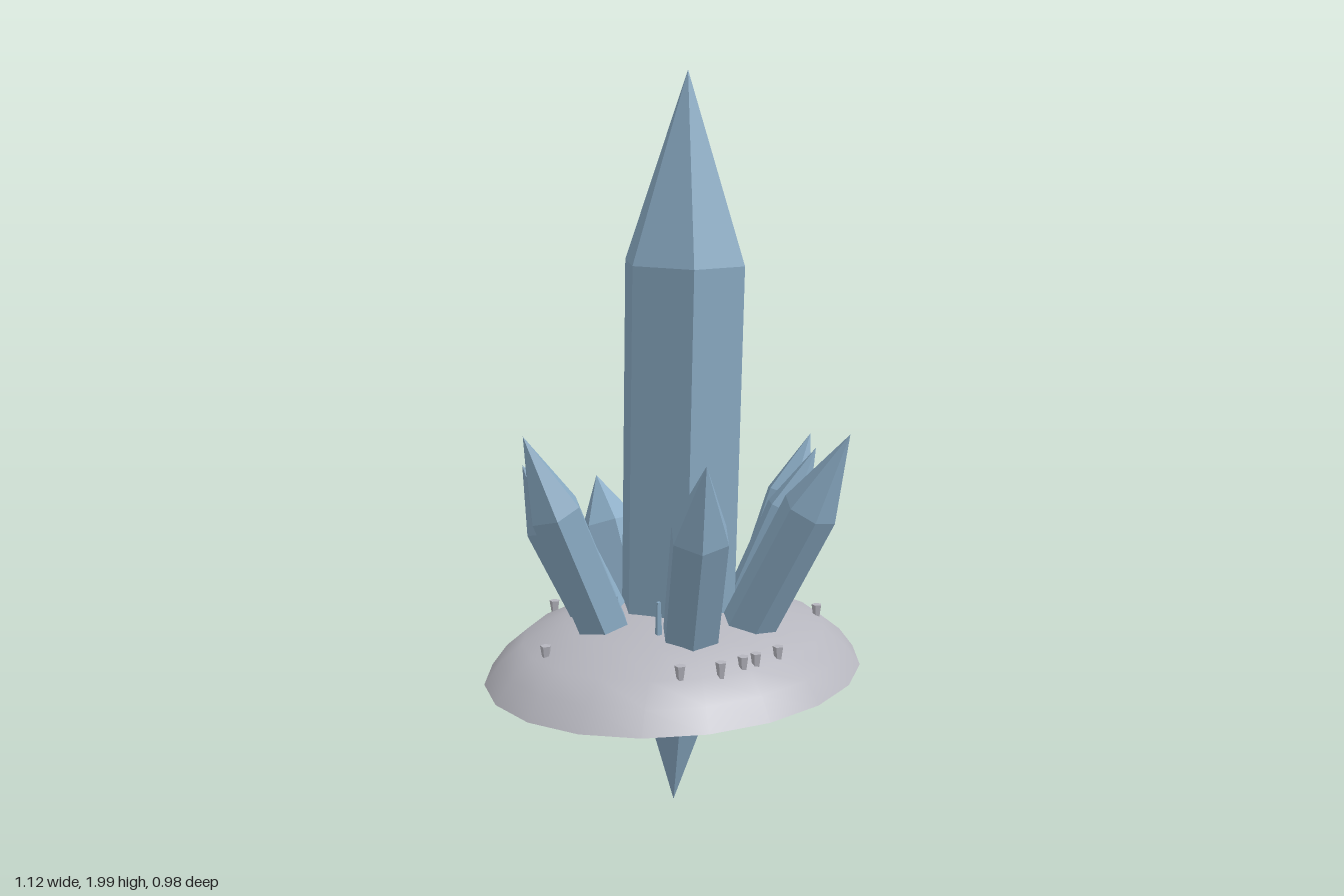
import * as THREE from 'three';

const crystalMat = new THREE.MeshStandardMaterial({ color: 0x8aabc4, flatShading: true });
crystalMat.name = 'paleBlueCrystal';
const rockMat = new THREE.MeshStandardMaterial({ color: 0xb6b6be, side: THREE.DoubleSide });
rockMat.name = 'greyRock';
const pebbleMat = new THREE.MeshStandardMaterial({ color: 0xb6b6be, flatShading: true });
pebbleMat.name = 'greyPebble';
const greenMat = new THREE.MeshStandardMaterial({ color: 0x22a060, flatShading: true });
greenMat.name = 'greenNeedle';

const UP = new THREE.Vector3(0, 1, 0);

function add(parent, name, geometry, material, x = 0, y = 0, z = 0) {
  const mesh = new THREE.Mesh(geometry, material);
  mesh.name = name;
  mesh.position.set(x, y, z);
  parent.add(mesh);
  return mesh;
}

// Double-ended six-sided crystal running from the bottom tip to the top tip
function addCrystal(parent, name, bottom, top, radius, angle, lower = 0.25, upper = 0.745) {
  const dir = top.clone().sub(bottom);
  const len = dir.length();
  const profile = [[0, 0], [radius, lower * len], [radius, upper * len], [0, len]]
    .map(([r, y]) => new THREE.Vector2(r, y));
  const geo = new THREE.LatheGeometry(profile, 6, Math.PI / 2 - angle * Math.PI / 180);
  const mesh = add(parent, name, geo, crystalMat, bottom.x, bottom.y, bottom.z);
  mesh.quaternion.setFromUnitVectors(UP, dir.normalize());
}

// Thin pointed splinter
function addNeedle(parent, name, a, b, radius, material) {
  const from = new THREE.Vector3(...a), dir = new THREE.Vector3(...b).sub(from);
  const geo = new THREE.CylinderGeometry(radius * 0.4, radius, dir.length(), 5);
  const mesh = add(parent, name, geo, material);
  mesh.position.copy(from).addScaledVector(dir, 0.5);
  mesh.quaternion.setFromUnitVectors(UP, dir.normalize());
}

export function createModel() {
  const model = new THREE.Group();
  model.name = 'crystalCluster';

  // Oval rock dome, open underneath
  const domeProfile = [[0.56, 0.42], [0.515, 0.475], [0.45, 0.524], [0.33, 0.571], [0.173, 0.6], [0, 0.612]]
    .map(([r, y]) => new THREE.Vector2(r, y));
  const dome = add(model, 'rockDome', new THREE.LatheGeometry(domeProfile, 20), rockMat, 0, 0, -0.012);
  dome.scale.z = 0.478 / 0.56;

  // Tall central crystal
  addCrystal(model, 'mainCrystal', new THREE.Vector3(0.015, 0.01, -0.035),
    new THREE.Vector3(-0.055, 2, 0.075), 0.165, 11, 0.25, 0.761);

  // Leaning side crystals: base point on the dome, tip, radius, turn
  const side = new THREE.Group();
  side.name = 'sideCrystals';
  model.add(side);
  [
    [[-0.24, 0.58, -0.06], [-0.465, 1.11, -0.11], 0.072, 10],
    [[-0.16, 0.58, -0.15], [-0.335, 1.0, -0.255], 0.075, 30],
    [[0.0, 0.57, -0.19], [0.015, 0.91, -0.325], 0.08, 0],
    [[0.125, 0.57, -0.165], [0.26, 1.2, -0.325], 0.073, 15],
    [[0.305, 0.56, 0.03], [0.465, 1.02, 0.1], 0.072, 20],
    [[0.14, 0.57, 0.11], [0.285, 1.02, 0.245], 0.062, 15],
    [[0.035, 0.57, 0.21], [0.087, 1.11, 0.485], 0.073, 10],
    [[-0.15, 0.57, 0.165], [-0.305, 1.07, 0.345], 0.078, 15],
  ].forEach(([b, t, r, turn]) => {
    const base = new THREE.Vector3(...b), tip = new THREE.Vector3(...t);
    const bottom = base.clone().lerp(tip, -0.48);
    addCrystal(side, 'sideCrystal', bottom, tip, r, turn);
  });

  // Ring of small shards around the foot of the main crystal
  for (let i = 0; i < 12; i++) {
    const a = i * Math.PI / 6;
    add(model, 'smallShard', new THREE.CylinderGeometry(0.006, 0.011, 0.11, 5), crystalMat,
      0.24 * Math.cos(a), 0.615, -0.012 + 0.24 * Math.sin(a));
  }

  // Pebbles sunk in the dome
  [[-0.115, -0.37], [0.075, -0.375], [0.092, -0.373], [0.34, 0.22], [-0.145, 0.335],
    [-0.105, 0.345], [-0.025, 0.355], [-0.215, 0.32], [-0.3, 0.26], [-0.41, -0.1]].forEach(([x, z]) =>
    add(model, 'pebble', new THREE.CylinderGeometry(0.015, 0.008, 0.045, 5), pebbleMat, x, 0.537, z));

  // Flattened stones under the dome
  for (let i = 0; i < 8; i++) {
    const a = (5 + i * 45) * Math.PI / 180;
    const stone = add(model, 'undersideStone', new THREE.SphereGeometry(0.054, 10, 6), rockMat,
      0.345 * Math.cos(a), 0.447, -0.012 + 0.345 * Math.sin(a));
    stone.scale.y = 0.45;
  }

  // Splinters beside the upper point
  addNeedle(model, 'greenNeedle', [0.052, 1.6, -0.033], [0.038, 1.85, -0.057], 0.006, greenMat);
  addNeedle(model, 'splinter', [0.022, 1.78, 0.047], [0.022, 1.85, 0.05], 0.004, crystalMat);
  addNeedle(model, 'splinter', [0.035, 1.75, -0.025], [0.03, 1.85, -0.015], 0.004, crystalMat);

  return model;
}
